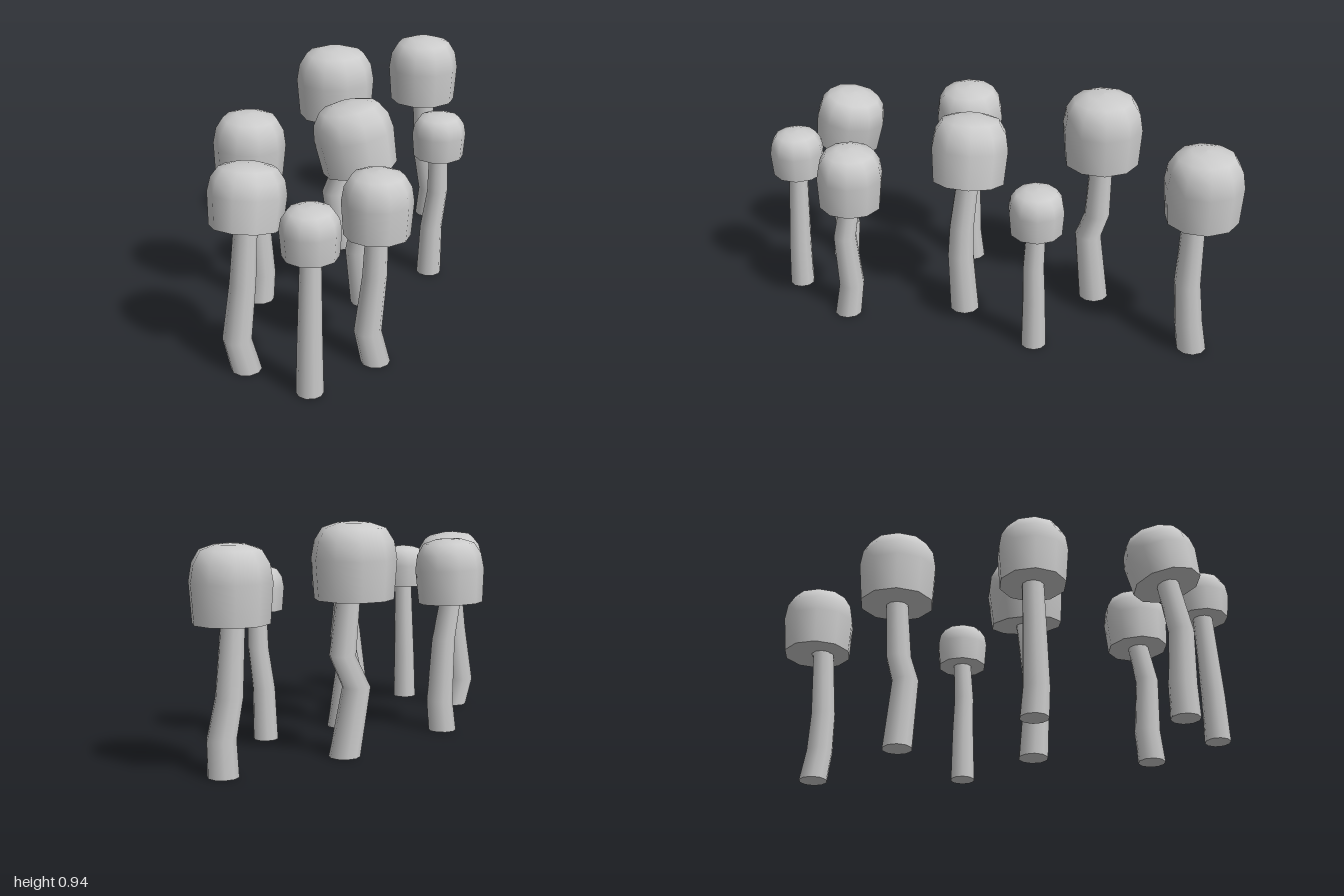
import * as THREE from 'three';

const SIDES = 10;
const material = new THREE.MeshStandardMaterial({ color: 0xcccccc });

// Cap silhouette: share of radius, share of height, from rim to crown
const CAP_PROFILE = [[0.93, 0], [1, 0.52], [0.93, 0.75], [0.74, 0.92], [0.38, 0.985], [0, 1]];

// cap: centre of the rim; r, h: cap radius and height; base: [x, z] on the ground;
// bends: points where the stem kinks; tiltX, tiltZ: lean of the cap
const MUSHROOMS = [
  { cap: [0.13, 0.587, -0.843], r: 0.16, h: 0.298, base: [0.172, -0.845],
    bends: [[0.187, 0.14, -0.828], [0.162, 0.3, -0.81], [0.14, 0.58, -0.815]] },
  { cap: [-0.155, 0.64, -0.37], r: 0.17, h: 0.305, base: [-0.11, -0.364],
    bends: [[-0.145, 0.28, -0.325], [-0.105, 0.41, -0.37], [-0.13, 0.63, -0.375]] },
  { cap: [0.355, 0.552, -0.225], r: 0.114, h: 0.188, base: [0.328, -0.211],
    bends: [[0.334, 0.22, -0.213], [0.357, 0.39, -0.216]] },
  { cap: [0.11, 0.603, 0.135], r: 0.165, h: 0.282, base: [0.14, 0.15], tiltZ: 0.19,
    bends: [[0.117, 0.25, 0.172], [0.14, 0.4, 0.157]] },
  { cap: [-0.327, 0.562, 0.265], r: 0.148, h: 0.278, base: [-0.297, 0.256], tiltZ: -0.04,
    bends: [[-0.282, 0.13, 0.262], [-0.297, 0.4, 0.262]] },
  { cap: [0.31, 0.527, 0.585], r: 0.138, h: 0.257, base: [0.318, 0.62], tiltX: -0.04,
    bends: [[0.284, 0.125, 0.612], [0.312, 0.37, 0.618]] },
  { cap: [-0.143, 0.585, 0.78], r: 0.15, h: 0.243, base: [-0.142, 0.82], tiltX: -0.19,
    bends: [[-0.177, 0.125, 0.82], [-0.145, 0.37, 0.825]] },
  { cap: [0.147, 0.555, 0.888], r: 0.114, h: 0.193, base: [0.147, 0.913],
    bends: [[0.147, 0.2, 0.908]] },
];

// Cylinder whose rings are moved onto a bent path and tapered by a quarter
function stemGeometry(path, radius) {
  const rings = path.length - 1;
  const geometry = new THREE.CylinderGeometry(1, 1, 1, SIDES, rings);
  const pos = geometry.attributes.position;
  for (let i = 0; i < pos.count; i++) {
    const [x, y, z] = path[Math.round((pos.getY(i) + 0.5) * rings)];
    const r = radius * (1 - 0.25 * y / path[rings][1]);
    pos.setXYZ(i, x + pos.getX(i) * r, y, z + pos.getZ(i) * r);
  }
  return geometry;
}

function addMesh(parent, geometry, name) {
  const mesh = new THREE.Mesh(geometry, material);
  mesh.name = name;
  parent.add(mesh);
}

function createMushroom({ cap, r, h, base, bends, tiltX = 0, tiltZ = 0 }) {
  const mushroom = new THREE.Group();
  mushroom.name = 'mushroom';

  // Stem runs from the ground into the cap; larger caps get thicker stems
  const [x, y, z] = cap;
  const path = [[base[0], 0, base[1]], ...bends, [x, y + 0.02, z]];
  addMesh(mushroom, stemGeometry(path, 0.03 + 0.2 * r), 'stem');

  // Domed cap with a flat underside
  const head = new THREE.Group();
  head.name = 'cap';
  head.position.set(x, y, z);
  head.rotation.set(tiltX, 0, tiltZ);
  const profile = CAP_PROFILE.map(([pr, py]) => new THREE.Vector2(pr * r, py * h));
  addMesh(head, new THREE.LatheGeometry(profile, SIDES), 'capDome');
  const underside = new THREE.CircleGeometry(CAP_PROFILE[0][0] * r, SIDES, Math.PI / 2);
  addMesh(head, underside.rotateX(Math.PI / 2), 'capUnderside');
  mushroom.add(head);
  return mushroom;
}

export function createModel() {
  const group = new THREE.Group();
  group.name = 'mushroomCluster';
  for (const spec of MUSHROOMS) group.add(createMushroom(spec));
  return group;
}
